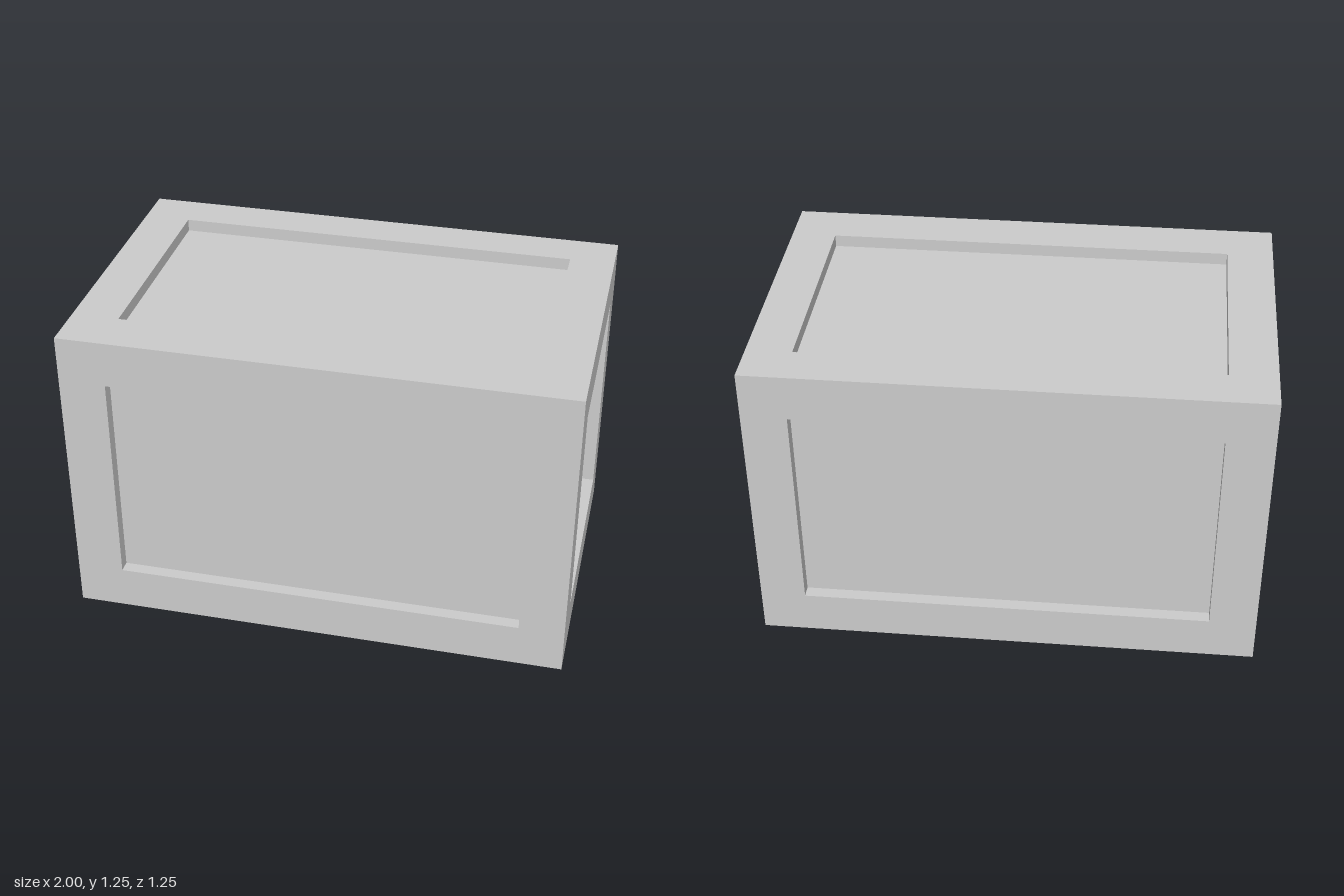
import * as THREE from 'three';

const W = 2, H = 1.25, D = 1.25; // overall size
const T = 0.05;                  // depth of the recessed panels
// recess limits along each axis, shared by opposite faces
const X = [-0.813, 0.82], Y = [0.178, 1.063], Z = [-0.452, 0.431];

function rect(path, [u0, u1], [v0, v1]) {
  path.moveTo(u0, v0);
  path.lineTo(u1, v0);
  path.lineTo(u1, v1);
  path.lineTo(u0, v1);
  path.closePath();
  return path;
}

// flat rectangular frame with a window, extruded along its local z
function frameGeometry(outerU, outerV, holeU, holeV) {
  const shape = rect(new THREE.Shape(), outerU, outerV);
  shape.holes.push(rect(new THREE.Path(), holeU, holeV));
  return new THREE.ExtrudeGeometry(shape, { depth: T, bevelEnabled: false });
}

const flip = ([a, b]) => [-b, -a];

export function createModel() {
  const group = new THREE.Group();
  group.name = 'panelledCrate';
  const material = new THREE.MeshStandardMaterial({ color: 0xcccccc, flatShading: true });

  function add(name, geometry, x, y, z) {
    const mesh = new THREE.Mesh(geometry, material);
    mesh.name = name;
    mesh.position.set(x, y, z);
    group.add(mesh);
  }

  // inner box whose faces are the recessed panels
  add('panelCore', new THREE.BoxGeometry(W - 2 * T, H - 2 * T, D - 2 * T), 0, H / 2, 0);

  const innerX = [-W / 2 + T, W / 2 - T], innerZ = [-D / 2 + T, D / 2 - T];

  // front and back frames cover the full face
  const front = frameGeometry([-W / 2, W / 2], [0, H], X, Y);
  add('frontFrame', front, 0, 0, D / 2 - T);
  add('backFrame', front, 0, 0, -D / 2);

  // side frames fit between front and back
  const side = frameGeometry(innerZ, [0, H], flip(Z), Y).rotateY(Math.PI / 2);
  add('leftFrame', side, W / 2 - T, 0, 0);
  add('rightFrame', side, -W / 2, 0, 0);

  // top and bottom frames fit inside the other four
  const lid = frameGeometry(innerX, innerZ, X, flip(Z)).rotateX(-Math.PI / 2);
  add('topFrame', lid, 0, H - T, 0);
  add('bottomFrame', lid, 0, 0, 0);

  return group;
}
